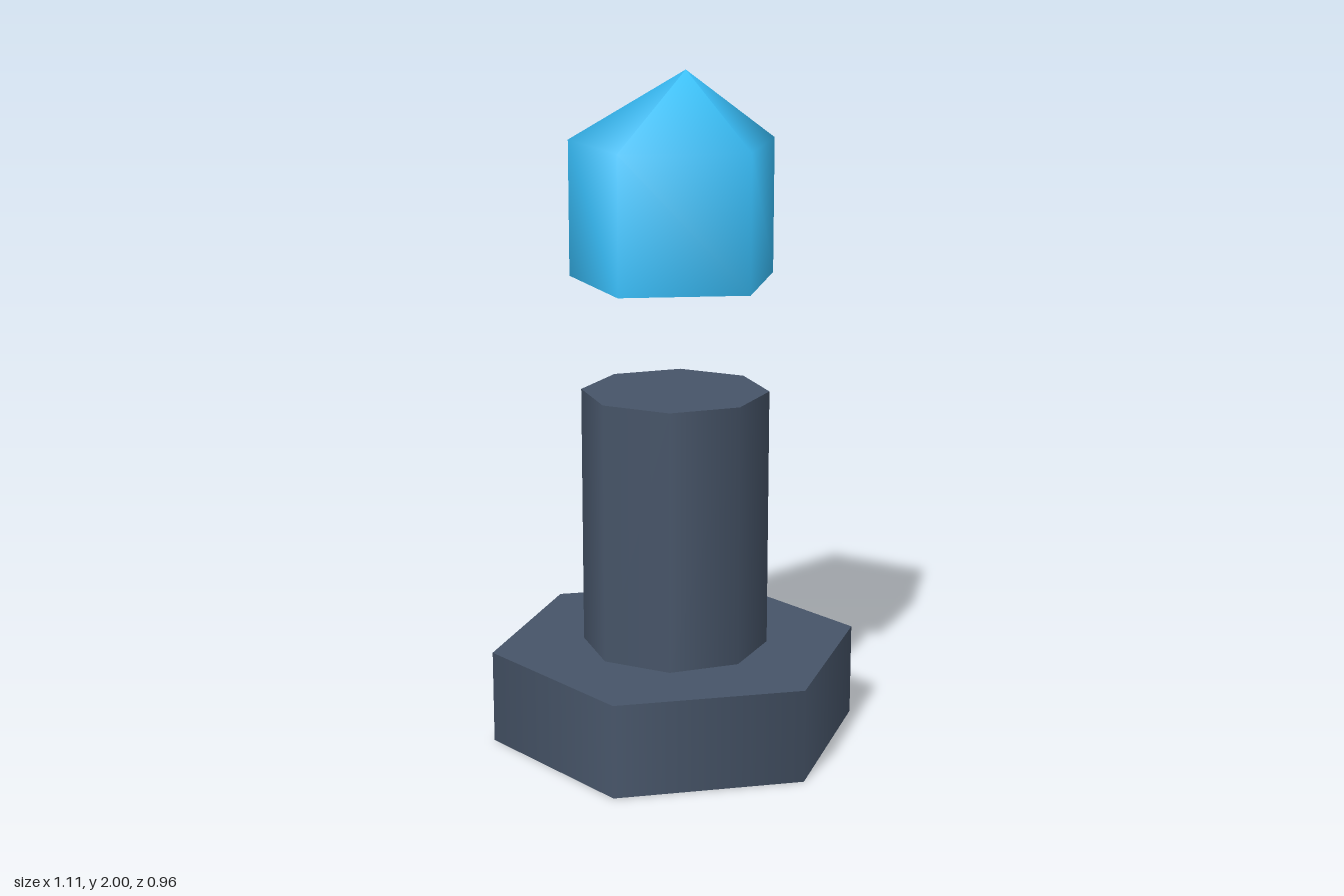
import * as THREE from 'three';

const slate = new THREE.MeshStandardMaterial({ color: 0x475569 });
const blue = new THREE.MeshStandardMaterial({ color: 0x38bdf8 });

// Upright prism with one corner pointing along +x
function prism(name, radius, y0, y1, sides) {
  const geometry = new THREE.CylinderGeometry(radius, radius, y1 - y0, sides, 1, false, Math.PI / 2);
  geometry.translate(0, (y0 + y1) / 2, 0);
  const mesh = new THREE.Mesh(geometry, slate);
  mesh.name = name;
  return mesh;
}

// Floating five-sided crystal: straight walls closing to an off-centre tip
function createCrystal() {
  const radius = 0.318, bottom = 1.39, shoulder = 1.79, top = 2, tipX = 0.045;
  const crystal = new THREE.Group();
  crystal.name = 'crystal';

  const profile = [
    new THREE.Vector2(radius, bottom),
    new THREE.Vector2(radius, shoulder),
    new THREE.Vector2(0, top),
  ];
  const shell = new THREE.LatheGeometry(profile, 5, Math.PI / 2);
  const pos = shell.attributes.position;
  for (let i = 0; i < pos.count; i++) {
    if (pos.getY(i) > top - 0.01) pos.setX(i, tipX);
  }
  const shellMesh = new THREE.Mesh(shell, blue);
  shellMesh.name = 'crystalShell';

  const base = new THREE.CircleGeometry(radius, 5);
  base.rotateX(Math.PI / 2);
  base.translate(0, bottom, 0);
  const baseMesh = new THREE.Mesh(base, blue);
  baseMesh.name = 'crystalBase';

  crystal.add(shellMesh, baseMesh);
  return crystal;
}

export function createModel() {
  const model = new THREE.Group();
  model.name = 'crystalPedestal';
  model.add(
    prism('hexagonalBase', 0.557, 0, 0.28, 6),
    prism('octagonalColumn', 0.278, 0.28, 1.06, 8),
    createCrystal(),
  );
  return model;
}
